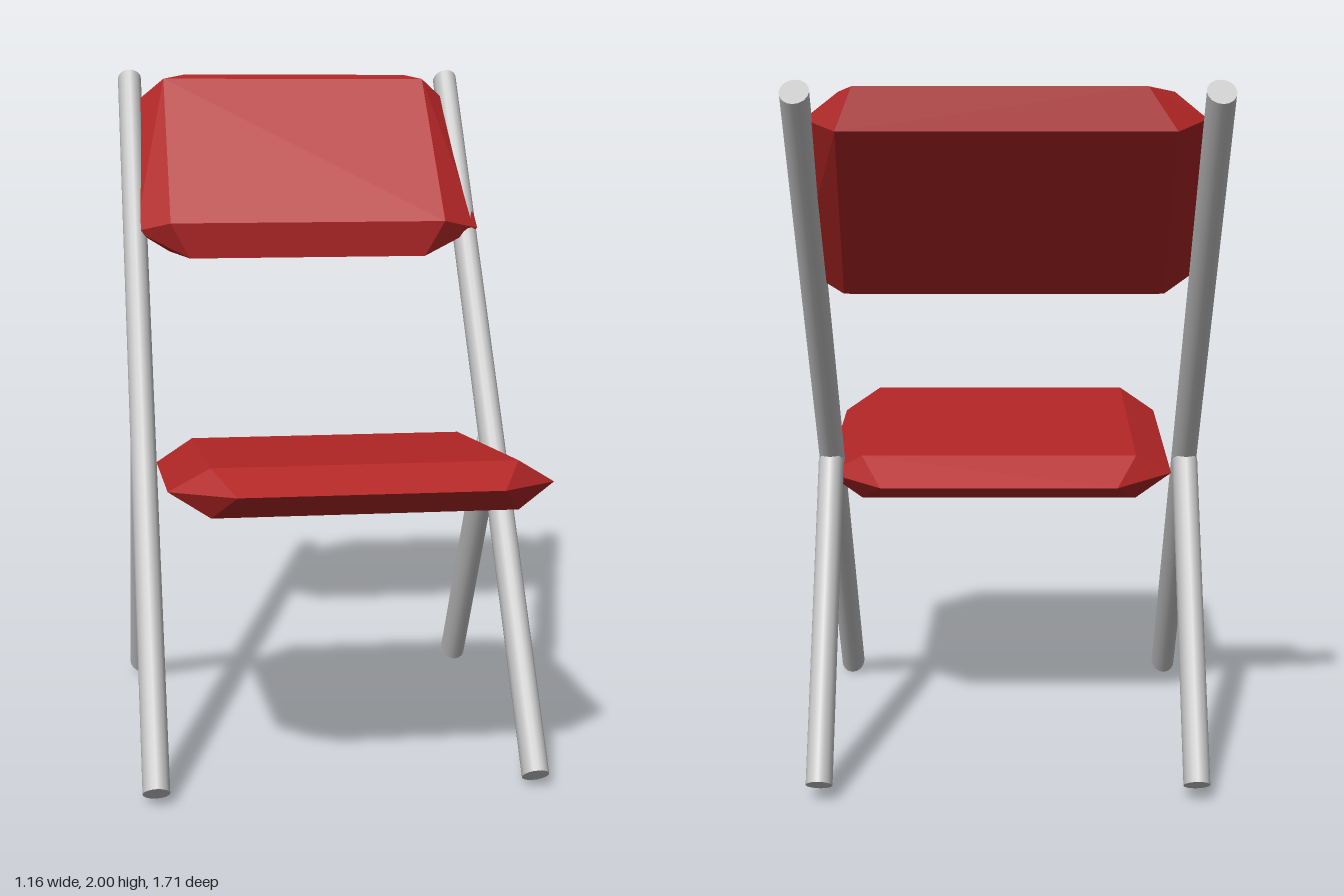
import * as THREE from 'three';
import { ConvexGeometry } from 'three/addons/geometries/ConvexGeometry.js';

const red = new THREE.MeshStandardMaterial({ color: 0xb32626 });
red.name = 'red padding';
red.flatShading = true;
const grey = new THREE.MeshStandardMaterial({ color: 0xc8c8c8 });
grey.name = 'light grey metal';

// Slightly oval tube between two points that share one x
function tube(name, x, [y0, z0], [y1, z1]) {
  const dy = y1 - y0, dz = z1 - z0;
  const geo = new THREE.CylinderGeometry(1, 1, Math.hypot(dy, dz), 16);
  geo.scale(0.038, 1, 0.05);
  const mesh = new THREE.Mesh(geo, grey);
  mesh.name = name;
  mesh.position.set(x, (y0 + y1) / 2, (z0 + z1) / 2);
  mesh.rotation.x = Math.atan2(dz, dy);
  return mesh;
}

// Bevelled pad lying flat: two rectangular faces around a wider eight-sided rim.
// Each row is [left x, right x, z]; faces sit at +-t, the rim at 0.
function pad(name, t, faceRows, rimRows) {
  const pts = [];
  for (const [l, r, z] of faceRows)
    for (const y of [-t, t]) pts.push(new THREE.Vector3(l, y, z), new THREE.Vector3(r, y, z));
  for (const [l, r, z] of rimRows) pts.push(new THREE.Vector3(l, 0, z), new THREE.Vector3(r, 0, z));
  const mesh = new THREE.Mesh(new ConvexGeometry(pts), red);
  mesh.name = name;
  return mesh;
}

export function createModel() {
  const model = new THREE.Group();
  model.name = 'foldingChair';

  // Crossed frame: long legs rise to the backrest, short legs prop them behind
  for (const [side, x] of [['left', 0.532], ['right', -0.532]]) {
    model.add(tube(side + 'LongLeg', x, [0.03, 0.614], [1.97, -0.805]));
    model.add(tube(side + 'BackLeg', x, [0.045, -0.55], [0.87, -0.03]));
  }

  // Seat, raised a little at the front
  const seat = pad('seat', 0.066,
    [[-0.41, 0.41, 0.4], [-0.41, 0.41, -0.4]],
    [[-0.35, 0.35, 0.512], [-0.52, 0.52, 0.35], [-0.52, 0.52, -0.36], [-0.35, 0.35, -0.512]]);
  seat.position.set(0.027, 0.86, 0.34);
  seat.rotation.x = -0.088;
  model.add(seat);

  // Backrest, wider at its lower edge and leaning back (local +z is its lower end)
  const backrest = pad('backrest', 0.078,
    [[-0.425, 0.447, 0.285], [-0.425, 0.433, -0.285]],
    [[-0.365, 0.385, 0.365], [-0.53, 0.568, 0.26], [-0.506, 0.517, -0.26], [-0.35, 0.39, -0.365]]);
  backrest.position.set(0, 1.697, -0.575);
  backrest.rotation.x = Math.PI / 2 - 0.668;
  model.add(backrest);

  // The whole chair is turned very slightly
  model.rotation.y = -0.012;
  const root = new THREE.Group();
  root.name = 'chair';
  root.add(model);
  return root;
}
